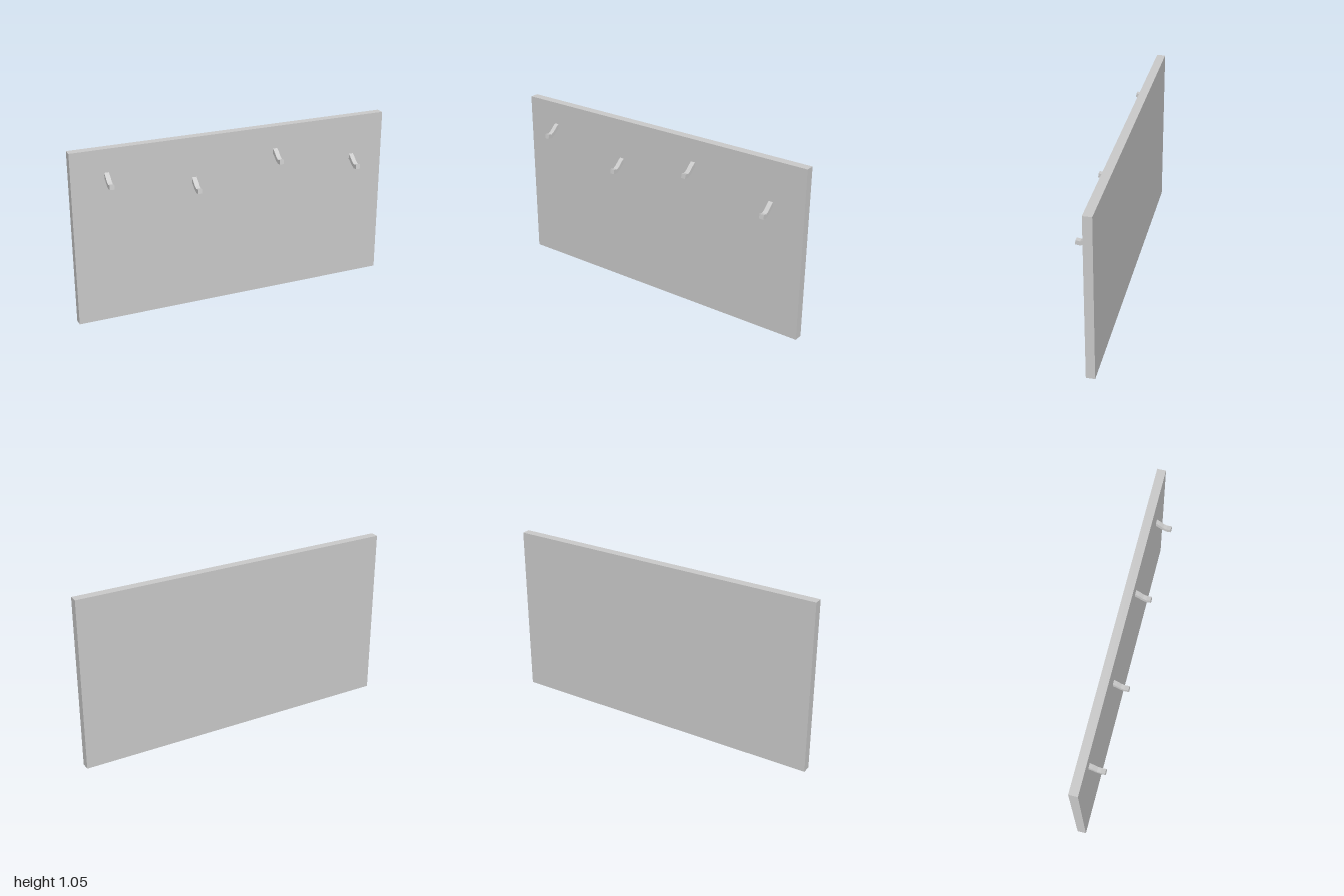
import * as THREE from 'three';

export function createModel() {
  const group = new THREE.Group();
  group.name = 'wallHookBoard';
  const material = new THREE.MeshStandardMaterial({ color: 0xcccccc, flatShading: true });

  // Flat backing board
  const board = new THREE.Mesh(new THREE.BoxGeometry(2, 1.054, 0.053), material);
  board.name = 'board';
  board.position.set(0, 0.527, -0.0465);
  group.add(board);

  // Hook side profile as (z, y), y measured from the top of its root
  const profile = [
    [-0.021, 0], [0, -0.016], [0.026, -0.04], [0.046, -0.05], [0.071, -0.045],
    [0.075, -0.072], [0.046, -0.076], [0.018, -0.062], [-0.001, -0.045], [-0.021, -0.033],
  ].map(([z, y]) => new THREE.Vector2(z, y));
  const width = 0.028;
  const hookGeometry = new THREE.ExtrudeGeometry(new THREE.Shape(profile), { depth: width, bevelEnabled: false });
  hookGeometry.translate(0, 0, -width / 2);
  hookGeometry.rotateY(-Math.PI / 2);

  // Four evenly spaced hooks at alternating heights
  for (let i = 0; i < 4; i++) {
    const hook = new THREE.Mesh(hookGeometry, material);
    hook.name = `hook${i + 1}`;
    hook.position.set(-0.79 + i * 0.526, i % 2 ? 0.811 : 0.916, 0);
    group.add(hook);
  }

  return group;
}
